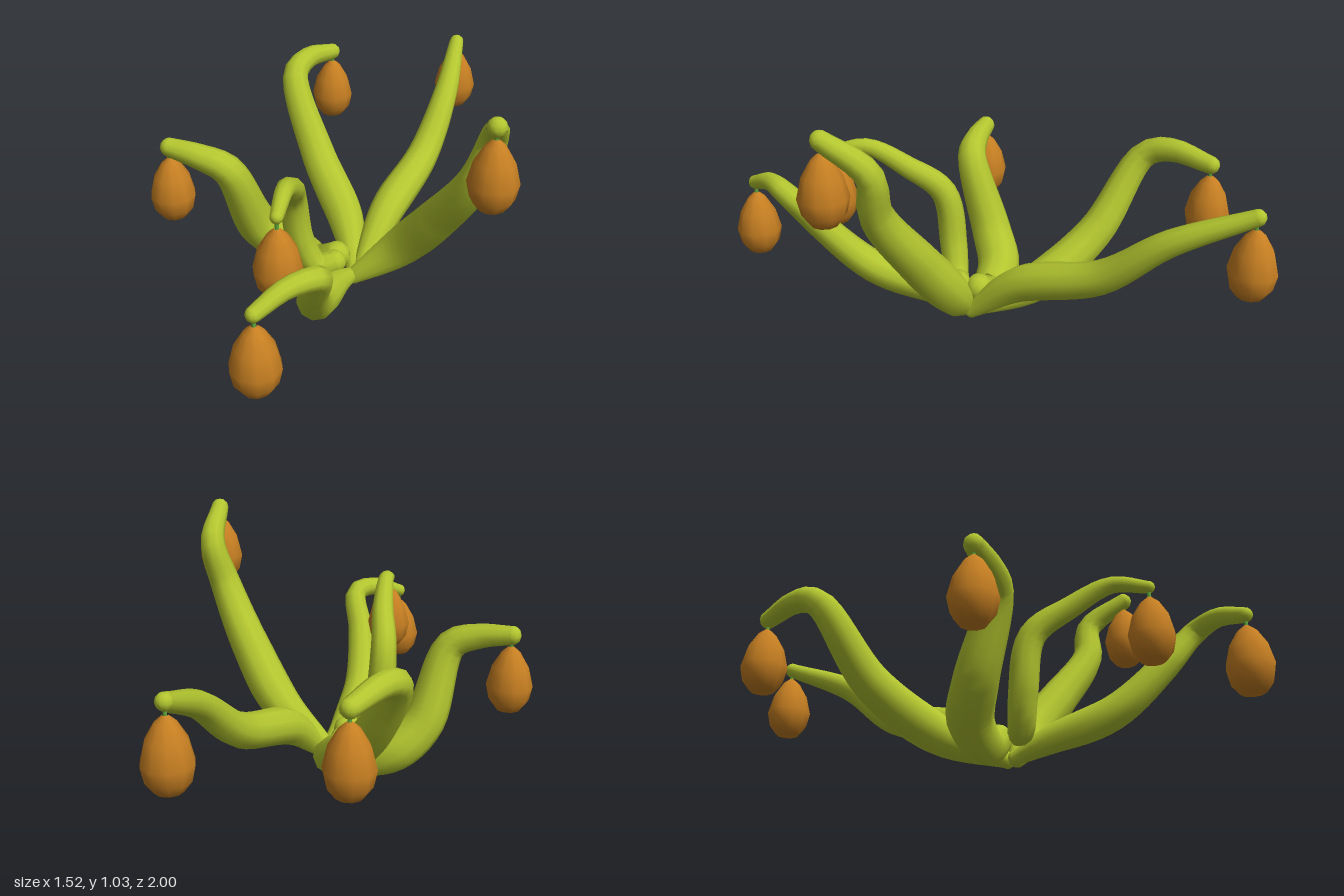
import * as THREE from 'three';

const green = new THREE.MeshStandardMaterial({ color: 0xb3c62f });
const stemGreen = new THREE.MeshStandardMaterial({ color: 0x5fa83c });
const orange = new THREE.MeshStandardMaterial({ color: 0xc88022 });

const SIDES = 10;
const SEGMENTS = 28;
const STEM_LENGTH = 0.045;

// pear-shaped pod, listed bottom to top, hanging below its origin
const podProfile = [[0, -0.265], [0.05, -0.265], [0.08, -0.225], [0.093, -0.165], [0.073, -0.085], [0.038, -0.025], [0.01, 0]]
  .map(([r, y]) => new THREE.Vector2(r, y));
const podGeo = new THREE.LatheGeometry(podProfile, 10);

// relative thickness: narrower root, swelling at a third, slim tip
function thickness(u, root) {
  const swell = 0.3;
  return u < swell
    ? root + (1 - root) * Math.sin((u / swell) * Math.PI / 2)
    : THREE.MathUtils.lerp(1, 0.43, ((u - swell) / (1 - swell)) ** 1.4);
}

// tube whose radius follows the thickness rule
function taperedTube(curve, width, root) {
  const geo = new THREE.TubeGeometry(curve, SEGMENTS, 1, SIDES);
  const pos = geo.attributes.position;
  const v = new THREE.Vector3();
  for (let n = 0; n < pos.count; n++) {
    const u = Math.floor(n / (SIDES + 1)) / SEGMENTS;
    const centre = curve.getPointAt(u);
    v.fromBufferAttribute(pos, n).sub(centre).multiplyScalar(width * thickness(u, root)).add(centre);
    pos.setXYZ(n, v.x, v.y, v.z);
  }
  return geo;
}

function addMesh(parent, name, geo, material, position = new THREE.Vector3()) {
  const mesh = new THREE.Mesh(geo, material);
  mesh.name = name;
  mesh.position.copy(position);
  parent.add(mesh);
}

// one curved arm, its rounded ends, and the pod hanging from its tip
function growArm(model, name, width, root, points) {
  const arm = new THREE.Group();
  arm.name = name;
  const curve = new THREE.CatmullRomCurve3(points.map((p) => new THREE.Vector3(...p)));
  addMesh(arm, 'branch', taperedTube(curve, width, root), green);
  for (const u of [0, 1]) {
    const cap = new THREE.SphereGeometry(width * thickness(u, root), SIDES, 6);
    addMesh(arm, u ? 'branchTip' : 'branchRoot', cap, green, curve.getPointAt(u));
  }
  const tip = curve.getPointAt(1);
  const podTop = tip.clone();
  podTop.y -= STEM_LENGTH;
  const stemEnd = podTop.clone();
  stemEnd.y -= 0.02;
  addMesh(arm, 'stem', new THREE.TubeGeometry(new THREE.LineCurve3(tip, stemEnd), 1, 0.008, 6), stemGreen);
  addMesh(arm, 'pod', podGeo, orange, podTop);
  model.add(arm);
}

export function createModel() {
  const model = new THREE.Group();
  model.name = 'hangingPodPlant';
  growArm(model, 'backArm', 0.083, 0.4, [
    [0.05, 0.085, 0.05], [0.05, 0.18, -0.21], [-0.03, 0.35, -0.47], [-0.105, 0.65, -0.69], [-0.04, 0.69, -0.78], [0.09, 0.665, -0.905]]);
  growArm(model, 'backLeftArm', 0.075, 0.4, [
    [0.07, 0.085, 0.065], [0.21, 0.265, -0.1], [0.42, 0.38, -0.37], [0.56, 0.57, -0.58], [0.67, 0.7, -0.855]]);
  growArm(model, 'rightArm', 0.09, 0.65, [
    [-0.02, 0.14, 0.02], [-0.09, 0.085, -0.03], [-0.21, 0.14, -0.1], [-0.33, 0.25, -0.09],
    [-0.45, 0.55, -0.025], [-0.55, 0.595, -0.06], [-0.67, 0.615, -0.125]]);
  growArm(model, 'frontRightUpperArm', 0.058, 0.85, [
    [-0.04, 0.16, 0.1], [-0.11, 0.15, 0.1], [-0.175, 0.27, 0.1], [-0.205, 0.5, 0.135],
    [-0.225, 0.615, 0.28], [-0.265, 0.7, 0.44], [-0.305, 0.675, 0.575]]);
  growArm(model, 'frontLeftArm', 0.085, 0.4, [
    [0.04, 0.085, 0.1], [0.215, 0.25, 0.17], [0.33, 0.46, 0.31], [0.425, 0.7, 0.46], [0.475, 0.88, 0.485], [0.435, 1.0, 0.64]]);
  growArm(model, 'frontRightLowerArm', 0.068, 0.45, [
    [0.03, 0.085, 0.09], [-0.05, 0.13, 0.21], [-0.155, 0.215, 0.45], [-0.19, 0.4, 0.65], [-0.19, 0.55, 0.78], [-0.3, 0.56, 0.84], [-0.415, 0.515, 0.905]]);
  return model;
}
